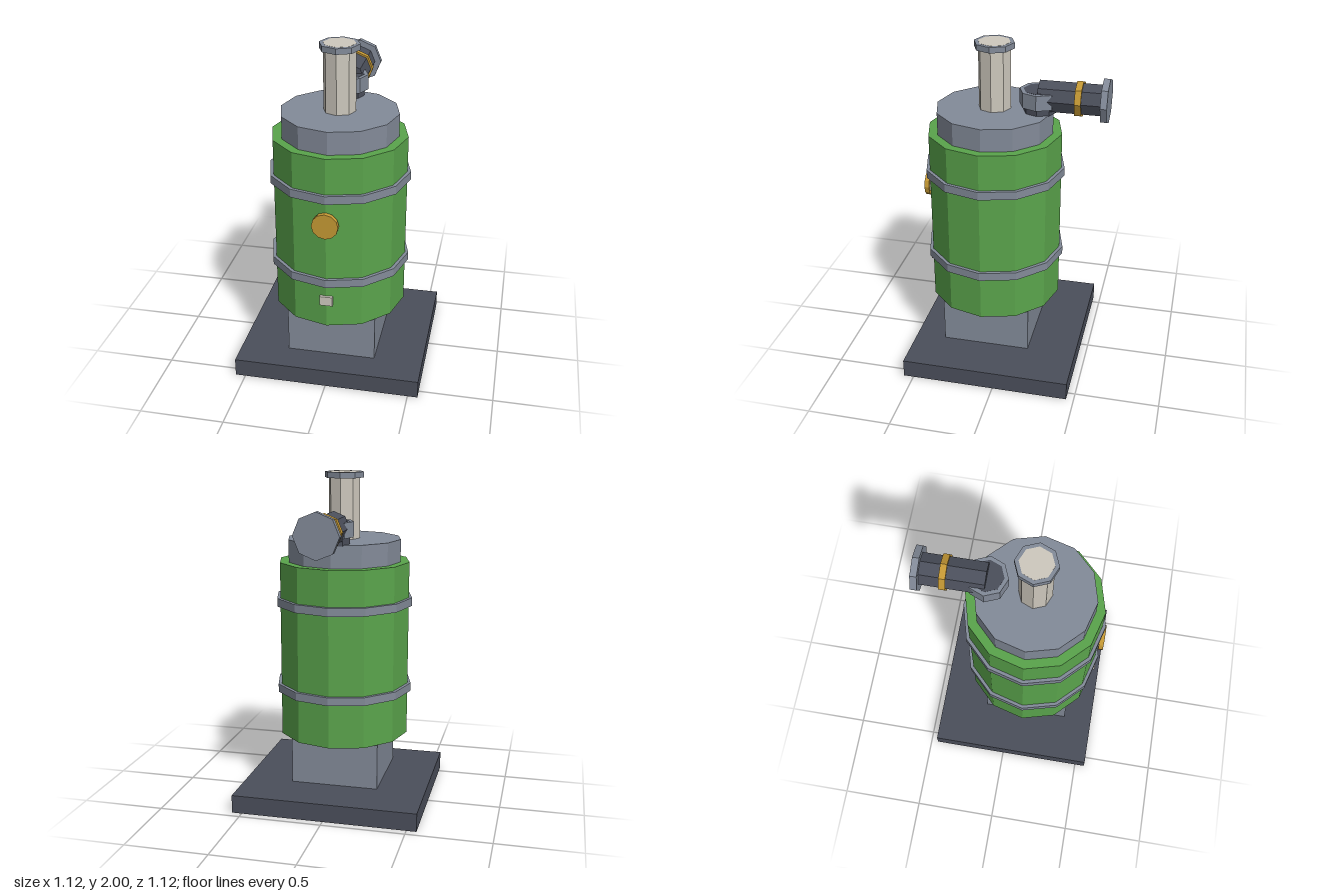
import * as THREE from 'three';

const makeMat = (name, color) => {
  const m = new THREE.MeshStandardMaterial({ color, flatShading: true });
  m.name = name;
  return m;
};

export function createModel() {
  const green = makeMat('tankGreen', 0x5aa44c);
  const steel = makeMat('steelGrey', 0x838b99);
  const dark = makeMat('darkIron', 0x4b4f5b);
  const pale = makeMat('paleMetal', 0xcec9be);
  const brass = makeMat('brass', 0xc49834);

  const model = new THREE.Group();
  model.name = 'tankUnit';
  const AXIS = 0.105; // z of the tank's vertical axis

  const add = (name, geometry, material) => {
    const mesh = new THREE.Mesh(geometry, material);
    mesh.name = name;
    model.add(mesh);
    return mesh;
  };
  const box = (name, mat, w, y0, y1, z0, z1) =>
    add(name, new THREE.BoxGeometry(w, y1 - y0, z1 - z0), mat)
      .position.set(0, (y0 + y1) / 2, (z0 + z1) / 2);
  // Upright prism between two heights
  const upright = (name, mat, r, y0, y1, z, sides) =>
    add(name, new THREE.CylinderGeometry(r, r, y1 - y0, sides), mat)
      .position.set(0, (y0 + y1) / 2, z);
  // Prism lying along z
  const lying = (name, mat, r, z0, z1, y, sides) =>
    add(name, new THREE.CylinderGeometry(r, r, z1 - z0, sides).rotateX(Math.PI / 2), mat)
      .position.set(0, y, (z0 + z1) / 2);

  // Base and pedestal
  box('basePlate', dark, 1.12, 0, 0.11, -0.455, 0.56);
  box('pedestal', steel, 0.534, 0.11, 0.4, -0.157, 0.377);

  // Tank, bands and lid
  upright('tank', green, 0.4, 0.4, 1.47, AXIS, 12);
  for (const y of [0.695, 1.23]) upright('tankBand', steel, 0.42, y - 0.025, y + 0.025, AXIS, 12);
  upright('tankLid', steel, 0.346, 1.47, 1.605, AXIS, 12);

  // Chimney with its rim
  upright('chimney', pale, 0.095, 1.605, 2.0, AXIS, 8);
  upright('chimneyRim', steel, 0.118, 1.965, 1.999, AXIS, 8);

  // Outlet elbow and rear pipe
  upright('outletRiser', dark, 0.095, 1.6, 1.736, -0.16, 8);
  upright('outletCollar', steel, 0.118, 1.645, 1.735, -0.16, 8);
  lying('outletPipe', dark, 0.095, -0.555, -0.16, 1.697, 8);
  lying('pipeRing', brass, 0.106, -0.41, -0.373, 1.697, 8);
  lying('pipeFlange', steel, 0.132, -0.56, -0.522, 1.697, 8);

  // Front gauge and plate
  lying('gaugeBack', pale, 0.06, 0.49, 0.51, 1.07, 12);
  lying('gauge', brass, 0.077, 0.505, 0.533, 1.07, 12);
  box('namePlate', pale, 0.076, 0.545, 0.603, 0.5, 0.518);

  return model;
}
